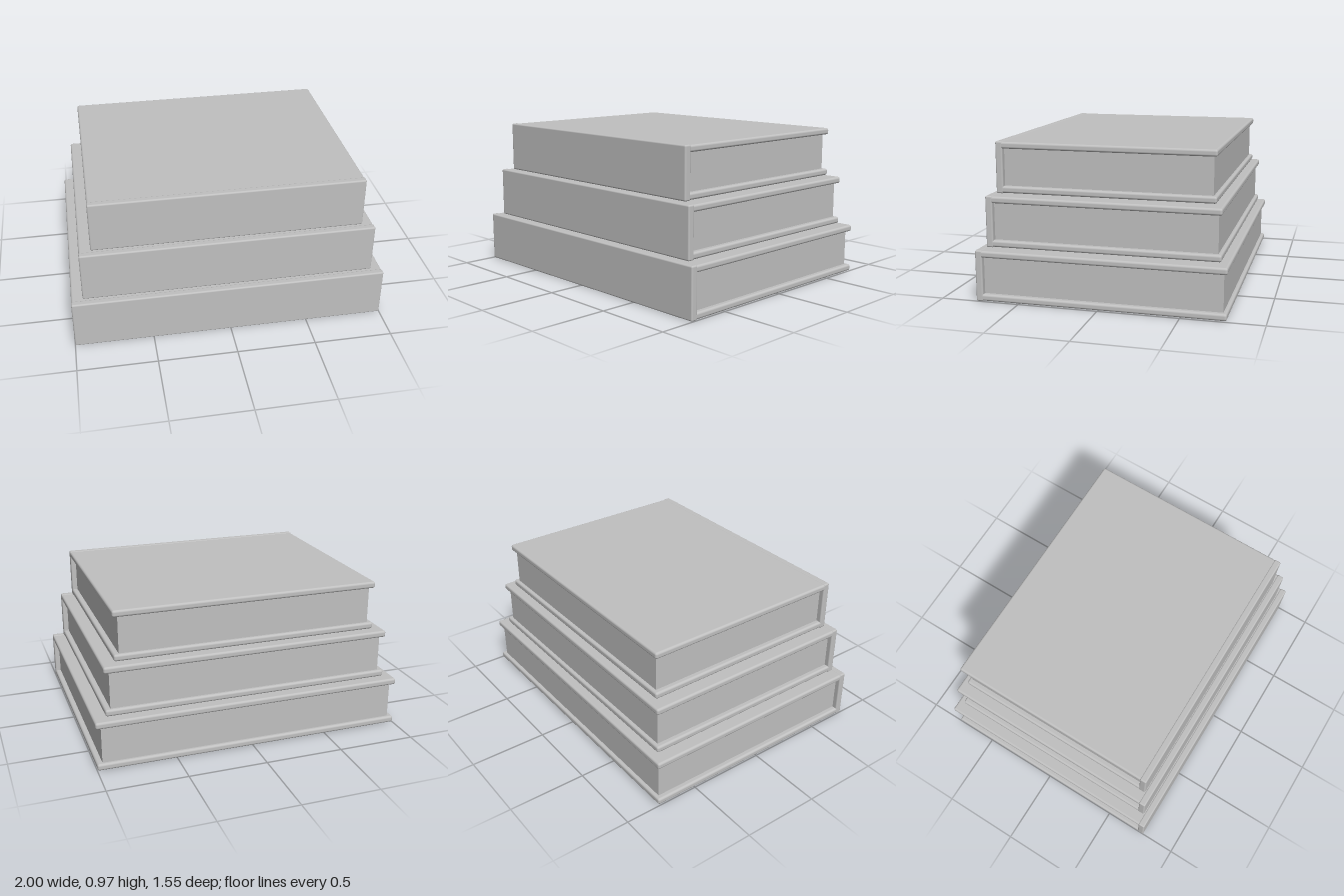
import * as THREE from 'three';
import { RoundedBoxGeometry } from 'three/addons/geometries/RoundedBoxGeometry.js';

const COVER = 0.042; // board thickness
const SPINE = 0.045; // spine thickness
const HEIGHT = 0.322; // height of one book

export function createModel() {
  const grey = new THREE.MeshStandardMaterial({ color: 0xc0c0c0 });
  grey.name = 'grey';

  const add = (parent, name, geometry, x, y, z) => {
    const mesh = new THREE.Mesh(geometry, grey);
    mesh.name = name;
    mesh.position.set(x, y, z);
    parent.add(mesh);
  };

  // One closed book lying flat, spine towards the front
  function makeBook(name, halfWidth, halfDepth) {
    const book = new THREE.Group();
    book.name = name;
    const width = halfWidth * 2;

    // Spine, a touch taller than the boards
    add(book, 'spine', new RoundedBoxGeometry(width, HEIGHT, SPINE, 3, 0.01),
      0, HEIGHT / 2, halfDepth - SPINE / 2);

    // Boards run from inside the spine to the back edge
    const front = halfDepth - SPINE / 2;
    const depth = front + halfDepth;
    for (const [part, y] of [
      ['bottomCover', 0.003 + COVER / 2],
      ['topCover', HEIGHT - 0.003 - COVER / 2],
    ]) {
      add(book, part, new RoundedBoxGeometry(width - 0.002, COVER, depth, 4, 0.014),
        0, y, front - depth / 2);
    }

    // Page block, set in from the boards on three sides
    const pageBack = -halfDepth + 0.023;
    const pageDepth = front - pageBack;
    add(book, 'pages',
      new THREE.BoxGeometry(width - 0.07, HEIGHT - COVER, pageDepth),
      0, HEIGHT / 2, front - pageDepth / 2);
    return book;
  }

  // Stack of three, each smaller than the one below
  const model = new THREE.Group();
  model.name = 'bookStack';
  [
    ['bottomBook', 1, 0.774],
    ['middleBook', 0.927, 0.727],
    ['topBook', 0.853, 0.682],
  ].forEach(([name, halfWidth, halfDepth], i) => {
    const book = makeBook(name, halfWidth, halfDepth);
    book.position.y = i * 0.326;
    model.add(book);
  });
  return model;
}
